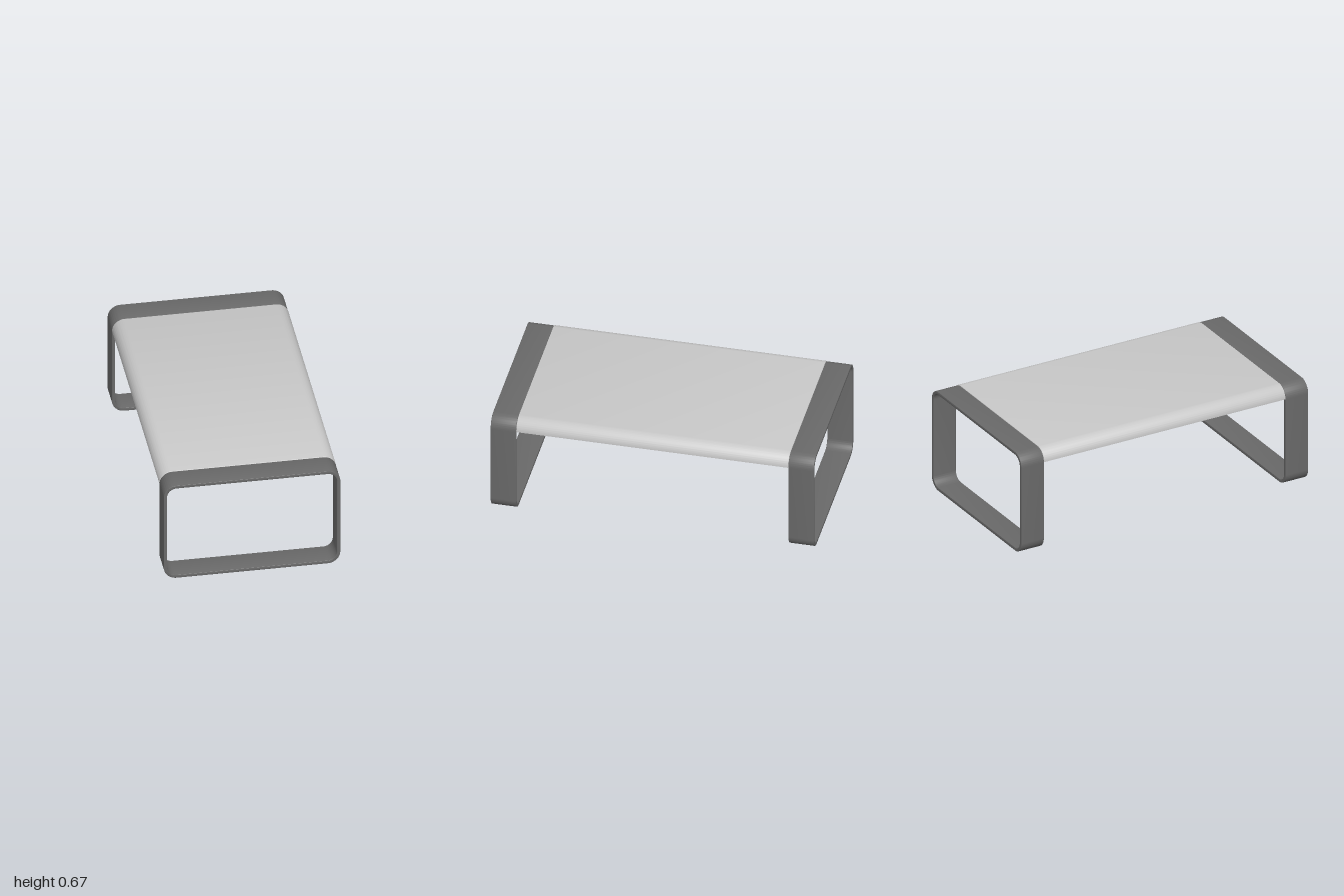
import * as THREE from 'three';
import { toCreasedNormals } from 'three/addons/utils/BufferGeometryUtils.js';

const HALF_PI = Math.PI / 2;

// Rounded rectangle spanning x = -w..w and y = y0..y1, counter-clockwise
function roundedRect(path, w, y0, y1, r) {
  path.moveTo(-w + r, y0);
  path.lineTo(w - r, y0);
  path.absarc(w - r, y0 + r, r, -HALF_PI, 0);
  path.absarc(w - r, y1 - r, r, 0, HALF_PI);
  path.absarc(-w + r, y1 - r, r, HALF_PI, Math.PI);
  path.absarc(-w + r, y0 + r, r, Math.PI, 3 * HALF_PI);
  return path;
}

// Sheet of thickness t whose two long edges curl down through a quarter turn
function curledSheet(w, top, r, t) {
  const cx = w - r, cy = top - r;
  const shape = new THREE.Shape();
  shape.moveTo(w, cy);
  shape.absarc(cx, cy, r, 0, HALF_PI);
  shape.absarc(-cx, cy, r, HALF_PI, Math.PI);
  shape.lineTo(-w + t, cy);
  shape.absarc(-cx, cy, r - t, Math.PI, HALF_PI, true);
  shape.absarc(cx, cy, r - t, HALF_PI, 0, true);
  shape.closePath();
  return shape;
}

// Extrude along z with softened ends, centred on z = 0, keeping the outline size
function extrudeSoft(shape, depth, bevel) {
  const geometry = new THREE.ExtrudeGeometry(shape, {
    depth: depth - 2 * bevel,
    bevelThickness: bevel,
    bevelSize: bevel,
    bevelOffset: -bevel,
    bevelSegments: 3,
    curveSegments: 20,
  });
  geometry.translate(0, 0, -depth / 2 + bevel);
  return toCreasedNormals(geometry, 0.3);
}

export function createModel() {
  const frameGrey = new THREE.MeshStandardMaterial({ color: 0x696969 });
  frameGrey.name = 'dark grey frame';
  const topGrey = new THREE.MeshStandardMaterial({ color: 0xc8c8c8 });
  topGrey.name = 'light grey top';

  const table = new THREE.Group();
  table.name = 'table';

  // Closed loop legs at both ends
  const loop = roundedRect(new THREE.Shape(), 0.54, 0, 0.667, 0.078);
  loop.holes.push(roundedRect(new THREE.Path(), 0.52, 0.021, 0.647, 0.058));
  const loopGeometry = extrudeSoft(loop, 0.158, 0.003);
  for (const side of [1, -1]) {
    const leg = new THREE.Mesh(loopGeometry, frameGrey);
    leg.name = side > 0 ? 'frontLegLoop' : 'backLegLoop';
    leg.position.z = side * 0.921;
    table.add(leg);
  }

  // Table top between the loops, with curled long edges
  const panel = new THREE.Mesh(extrudeSoft(curledSheet(0.541, 0.669, 0.078, 0.028), 1.684, 0.005), topGrey);
  panel.name = 'tableTop';
  table.add(panel);

  return table;
}
